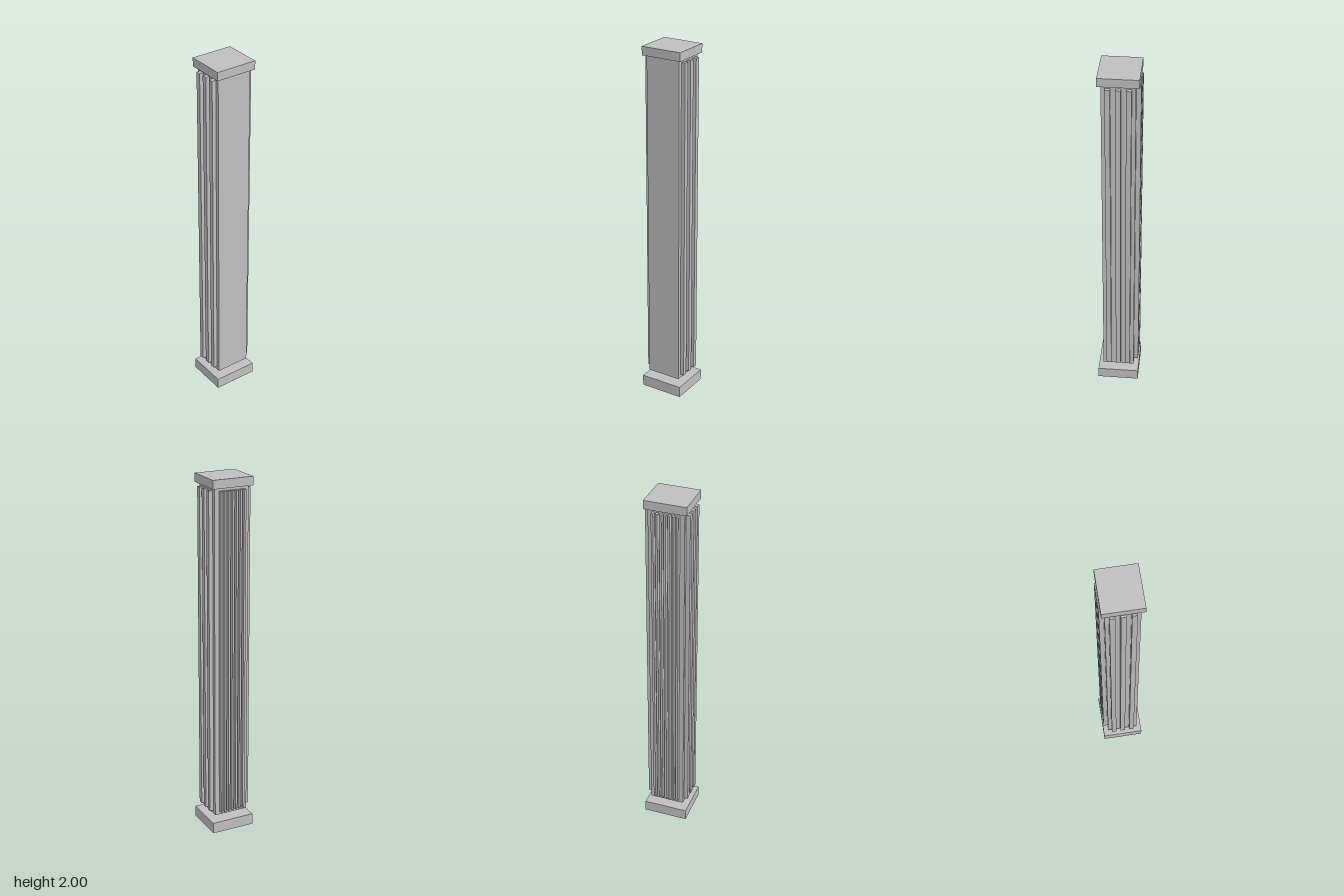
import * as THREE from 'three';

export function createModel() {
  const model = new THREE.Group();
  model.name = 'pillar';
  const stone = new THREE.MeshStandardMaterial({ color: 0xbfbfbf });
  stone.name = 'grey stone';

  // Box given by its horizontal centre, width, depth and vertical extent
  function block(name, x, z, width, depth, bottom, top) {
    const mesh = new THREE.Mesh(new THREE.BoxGeometry(width, top - bottom, depth), stone);
    mesh.position.set(x, (bottom + top) / 2, z);
    mesh.name = name;
    model.add(mesh);
  }

  // Base slab, with a shadow gap below the shaft, and cap slab
  block('base', 0, 0, 0.23, 0.248, 0, 0.063);
  block('shaft', 0, 0, 0.175, 0.196, 0.095, 1.953);
  block('cap', 0, 0, 0.212, 0.23, 1.953, 2);

  // Three wide ribs on the front and on the back
  for (const side of [1, -1]) {
    for (let i = -1; i <= 1; i++) {
      block(side > 0 ? 'frontRib' : 'backRib', i * 0.0535, side * 0.108, 0.027, 0.024, 0.116, 1.938);
    }
  }

  // Seven narrow ribs on the -x side
  for (let i = -3; i <= 3; i++) {
    block('sideRib', -0.099, i * 0.0223, 0.026, 0.0116, 0.116, 1.938);
  }

  return model;
}
